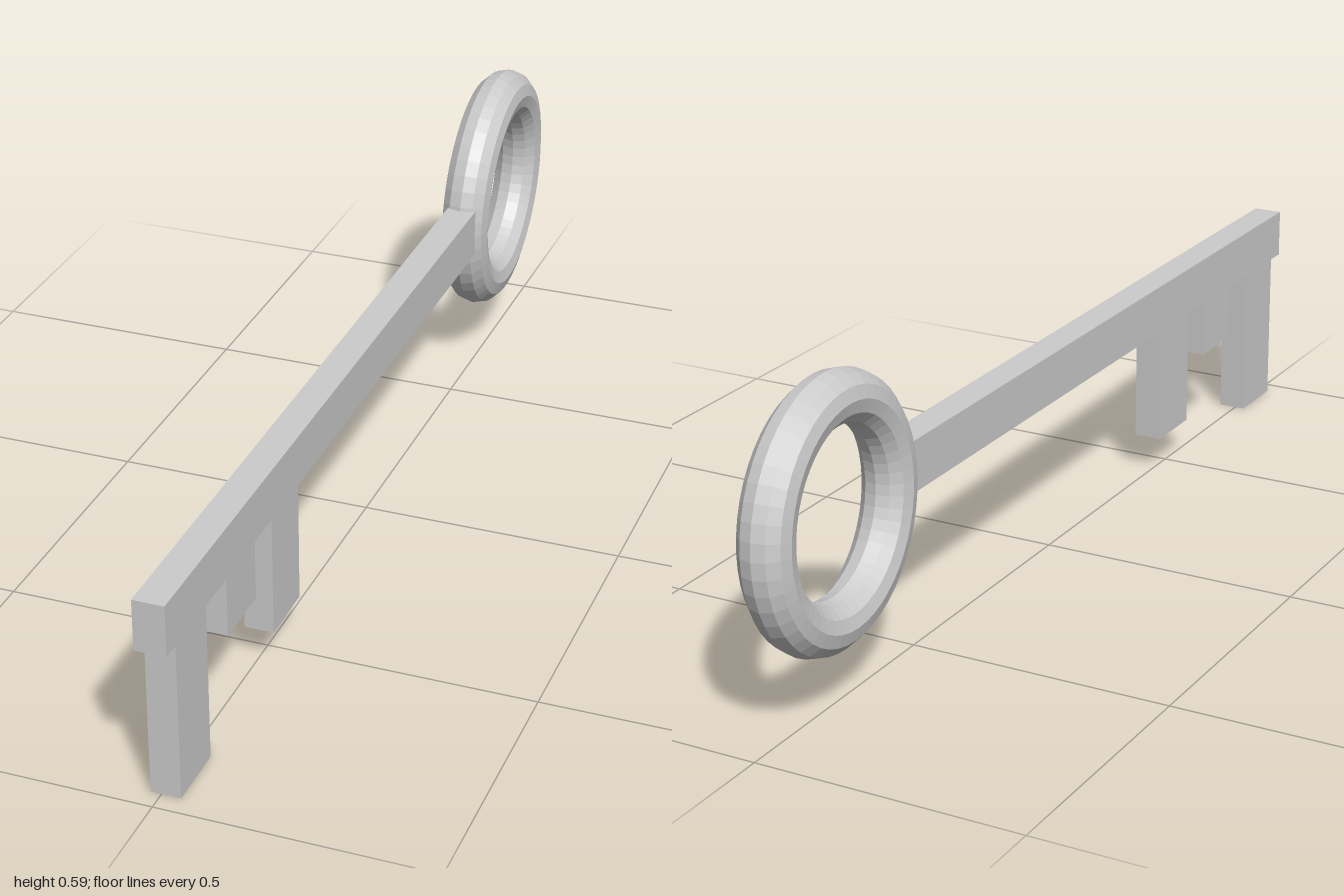
import * as THREE from 'three';

export function createModel() {
  const key = new THREE.Group();
  key.name = 'key';
  const material = new THREE.MeshStandardMaterial({ color: 0xcccccc, flatShading: true });

  // Box given by its extents on each axis
  const addBar = (name, [x0, x1], [y0, y1], [z0, z1]) => {
    const bar = new THREE.Mesh(new THREE.BoxGeometry(x1 - x0, y1 - y0, z1 - z0), material);
    bar.position.set((x0 + x1) / 2, (y0 + y1) / 2, (z0 + z1) / 2);
    bar.name = name;
    key.add(bar);
  };

  // Straight square shaft, its back end sunk into the ring
  addBar('shaft', [-0.021, 0.036], [0.301, 0.396], [-0.545, 1]);

  // Teeth hanging below the shaft: bottom, back and front
  const teeth = [
    [0, 0.84, 0.963],
    [0.188, 0.632, 0.755],
    [0.07, 0.434, 0.557],
  ];
  teeth.forEach(([bottom, back, front], i) =>
    addBar(`tooth${i + 1}`, [-0.0195, 0.035], [bottom, 0.31], [back, front]));

  // Ring handle, facing sideways with a slight tilt
  const ring = new THREE.Mesh(new THREE.TorusGeometry(0.196, 0.0475, 12, 48), material);
  const facing = new THREE.Vector3(1, -0.025, -0.028).normalize();
  ring.quaternion.setFromUnitVectors(new THREE.Vector3(0, 0, 1), facing);
  ring.position.set(-0.001, 0.347, -0.757);
  ring.name = 'ringHandle';
  key.add(ring);

  return key;
}
